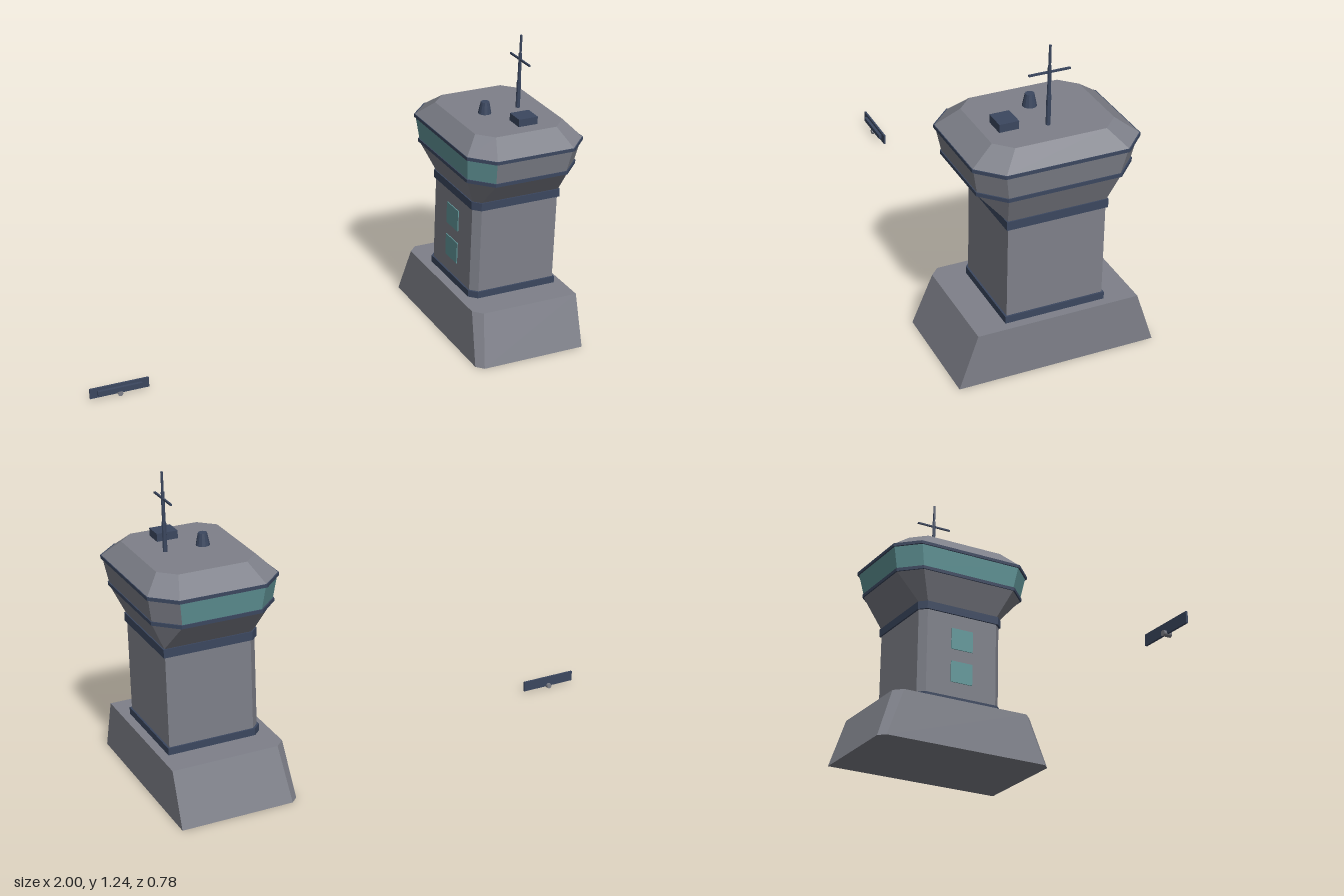
import * as THREE from 'three';

const concrete = new THREE.MeshStandardMaterial({ color: 0x7e8089 });
concrete.name = 'concrete grey';
const trim = new THREE.MeshStandardMaterial({ color: 0x3b475f });
trim.name = 'slate blue trim';
const glass = new THREE.MeshStandardMaterial({ color: 0x62979a });
glass.name = 'teal glass';

// Rectangular ring with cut corners: cl on the -x corners, cr on the +x corners
function ring(y, x0, x1, z, cl, cr) {
  return [
    [x0 + cl, z], [x1 - cr, z], [x1, z - cr], [x1, cr - z],
    [x1 - cr, -z], [x0 + cl, -z], [x0, cl - z], [x0, z - cl],
  ].map(([x, zz]) => new THREE.Vector3(x, y, zz));
}

// Flat-faced solid between two rings; sides listed in glazed use material 1
function loft(low, high, glazed = []) {
  const buckets = [[], []];
  const tri = (k, a, b, c) => {
    const area = b.clone().sub(a).cross(c.clone().sub(a)).length();
    if (area > 1e-8) for (const p of [a, b, c]) buckets[k].push(p.x, p.y, p.z);
  };
  for (let i = 0; i < 8; i++) {
    const j = (i + 1) % 8, k = glazed.includes(i) ? 1 : 0;
    tri(k, low[i], low[j], high[j]);
    tri(k, low[i], high[j], high[i]);
  }
  for (let i = 1; i < 7; i++) {
    tri(0, high[0], high[i], high[i + 1]);
    tri(0, low[0], low[i + 1], low[i]);
  }
  const geo = new THREE.BufferGeometry();
  geo.setAttribute('position', new THREE.Float32BufferAttribute([...buckets[0], ...buckets[1]], 3));
  const n = buckets[0].length / 3;
  geo.addGroup(0, n, 0);
  geo.addGroup(n, buckets[1].length / 3, 1);
  geo.computeVertexNormals();
  return geo;
}

function add(parent, name, geo, material, x = 0, y = 0, z = 0) {
  const mesh = new THREE.Mesh(geo, material);
  mesh.name = name;
  mesh.position.set(x, y, z);
  parent.add(mesh);
  return mesh;
}

// Straight band of trim with the same outline top and bottom
const band = (y0, y1, ...outline) => loft(ring(y0, ...outline), ring(y1, ...outline));

// Round flat-sided post given by its bottom and top heights
function post(parent, name, x, z, y0, y1, rBottom, rTop, sides = 8) {
  const geo = new THREE.CylinderGeometry(rTop, rBottom, y1 - y0, sides).toNonIndexed();
  geo.computeVertexNormals();
  add(parent, name, geo, trim, x, (y0 + y1) / 2, z);
}

export function createModel() {
  const model = new THREE.Group();
  model.name = 'controlTower';

  // Sloped plinth and shaft
  const tower = new THREE.Group();
  tower.name = 'tower';
  model.add(tower);
  add(tower, 'plinth', loft(ring(0, 0.49, 0.963, 0.39, 0.028, 0), ring(0.21, 0.507, 0.963, 0.318, 0.035, 0)), concrete);
  add(tower, 'shaft', band(0.21, 0.63, 0.555, 0.922, 0.19, 0.028, 0), concrete);
  add(tower, 'lowerShaftBand', band(0.21, 0.238, 0.548, 0.929, 0.197, 0.03, 0), trim);
  add(tower, 'upperShaftBand', band(0.602, 0.636, 0.548, 0.929, 0.197, 0.03, 0), trim);

  // Shaft windows on the -x side
  for (const y of [0.35, 0.495])
    add(tower, 'shaftWindow', new THREE.BoxGeometry(0.006, 0.092, 0.1), glass, 0.554, y, 0);

  // Cab: flared underside, glazed wall, roof and trims
  const cab = new THREE.Group();
  cab.name = 'cab';
  model.add(cab);
  add(cab, 'flare', loft(ring(0.636, 0.553, 0.924, 0.192, 0.028, 0), ring(0.752, 0.5, 0.976, 0.297, 0.083, 0.083)), concrete);
  add(cab, 'cabWall', loft(ring(0.764, 0.5, 0.976, 0.297, 0.083, 0.083), ring(0.856, 0.488, 0.991, 0.316, 0.086, 0.086), [4, 5, 6, 7]), [concrete, glass]);
  add(cab, 'sillBand', band(0.75, 0.764, 0.496, 0.98, 0.301, 0.084, 0.084), trim);
  add(cab, 'eavesBand', band(0.855, 0.868, 0.483, 0.997, 0.322, 0.087, 0.087), trim);
  add(cab, 'roof', loft(ring(0.868, 0.486, 0.994, 0.319, 0.087, 0.087), ring(0.931, 0.547, 0.934, 0.234, 0.06, 0.06)), concrete);

  // Roof equipment
  const equipment = new THREE.Group();
  equipment.name = 'roofEquipment';
  model.add(equipment);
  add(equipment, 'equipmentBox', new THREE.BoxGeometry(0.083, 0.032, 0.075), trim, 0.777, 0.946, 0.143);
  post(equipment, 'ventBase', 0.68, 0, 0.93, 0.96, 0.027, 0.021, 12);
  post(equipment, 'ventCap', 0.68, 0, 0.96, 0.979, 0.021, 0.017, 12);
  post(equipment, 'mastLower', 0.829, 0, 0.93, 1.045, 0.009, 0.009);
  post(equipment, 'mastMiddle', 0.829, 0, 1.045, 1.16, 0.007, 0.007);
  post(equipment, 'mastTop', 0.829, 0, 1.16, 1.237, 0.005, 0.005);
  add(equipment, 'mastCrossbar', new THREE.BoxGeometry(0.007, 0.007, 0.158), trim, 0.829, 1.135, 0);

  // Separate radar bar lying at ground level
  const radar = new THREE.Group();
  radar.name = 'radarBar';
  radar.position.x = -0.88;
  model.add(radar);
  add(radar, 'radarPanel', new THREE.BoxGeometry(0.24, 0.042, 0.008), trim, 0, 0.029, 0);
  add(radar, 'radarFace', new THREE.BoxGeometry(0.18, 0.018, 0.014), trim, 0, 0.03, 0.009);
  add(radar, 'radarPivot', new THREE.CylinderGeometry(0.011, 0.011, 0.032, 8).rotateX(Math.PI / 2), concrete, 0, 0.011, 0.001);

  return model;
}
